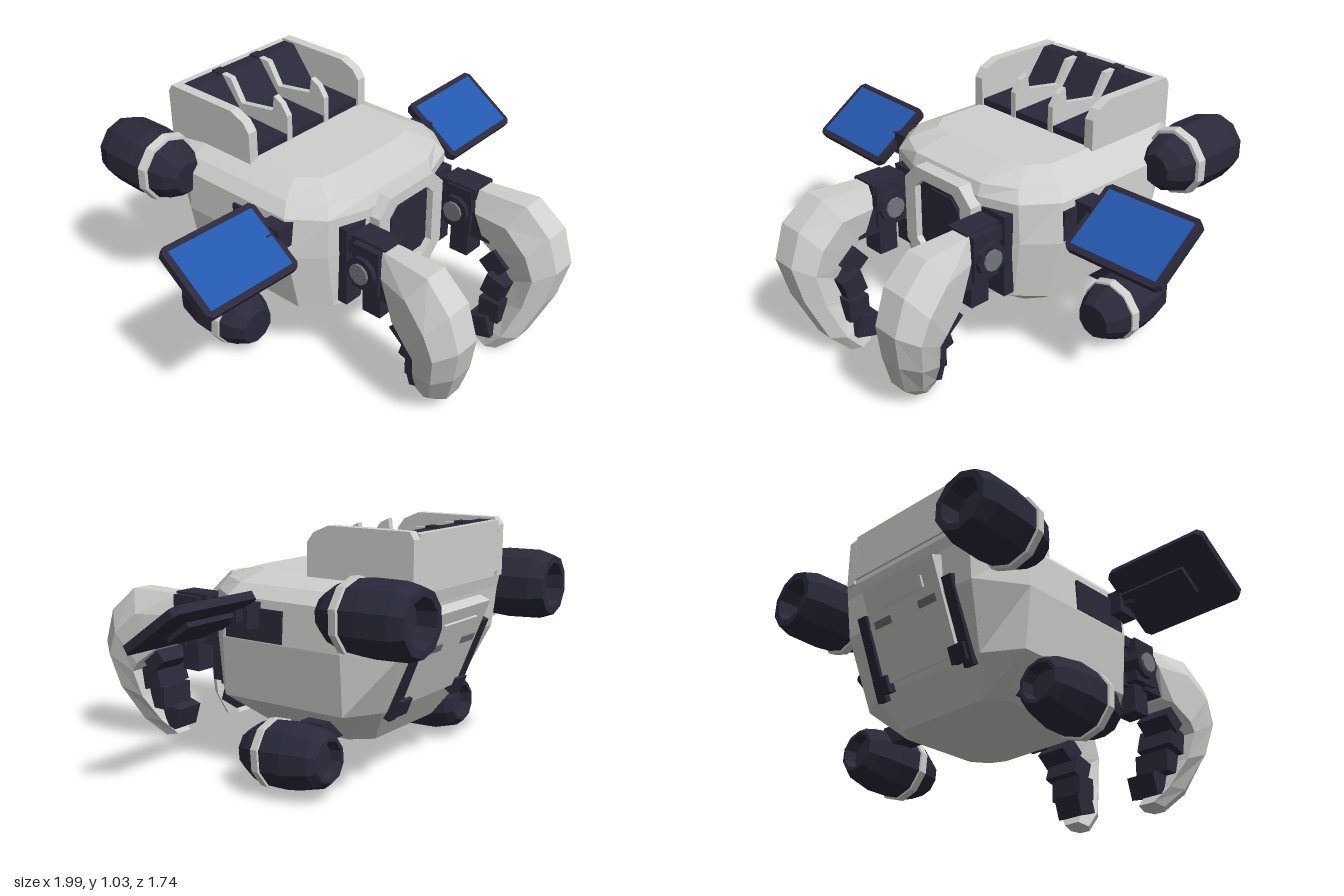
import * as THREE from 'three';

const mat = (name, color) => Object.assign(new THREE.MeshStandardMaterial({ color }), { name });

export function createModel() {
  const white = mat('hull white', 0xcfcfcd);
  const dark = mat('dark frame', 0x2b293a);
  const blue = mat('solar blue', 0x2458ae);
  const grey = mat('joint grey', 0x75757d);
  const model = new THREE.Group();
  model.name = 'spaceDrone';

  // Faceted mesh helper
  const add = (name, geo, material, parent = model) => {
    const g = geo.index ? geo.toNonIndexed() : geo;
    g.computeVertexNormals();
    const mesh = new THREE.Mesh(g, material);
    mesh.name = name;
    parent.add(mesh);
    return mesh;
  };
  const box = (name, size, pos, material, parent = model, rx = 0) => {
    const mesh = add(name, new THREE.BoxGeometry(...size), material, parent);
    mesh.position.set(...pos);
    mesh.rotation.x = rx;
    return mesh;
  };
  // Skin over equal-length rings of [x, y, z], capped, wound to face outward
  const loft = (rings) => {
    const n = rings[0].length, pts = rings.flat(), tris = [];
    for (let i = 0; i < rings.length - 1; i++) {
      for (let j = 0; j < n; j++) {
        const a = i * n + j, b = i * n + (j + 1) % n;
        tris.push([a, b, b + n], [a, b + n, a + n]);
      }
    }
    const last = (rings.length - 1) * n;
    for (let j = 1; j < n - 1; j++) tris.push([0, j + 1, j], [last, last + j, last + j + 1]);
    const v = pts.map((p) => new THREE.Vector3(...p));
    const volume = tris.reduce((s, [a, b, c]) => s + v[a].dot(v[b].clone().cross(v[c])), 0);
    if (volume < 0) tris.forEach((t) => t.reverse());
    const g = new THREE.BufferGeometry();
    g.setAttribute('position', new THREE.Float32BufferAttribute(pts.flat(), 3));
    g.setIndex(tris.flat());
    return g;
  };
  // Side profile of [z, y] points extruded along x
  const prism = (points, x, width) => {
    const s = new THREE.Shape(points.map(([z, y]) => new THREE.Vector2(-z, y)));
    return new THREE.ExtrudeGeometry(s, { depth: width, bevelEnabled: false })
      .rotateY(Math.PI / 2).translate(x, 0, 0);
  };
  const octagon = (w, h, c) => [[-w, c - h], [c - w, -h], [w - c, -h], [w, c - h],
    [w, h - c], [w - c, h], [c - w, h], [-w, h - c]].map((p) => new THREE.Vector2(...p));

  // Hull: y, front half width, front z, cheek x, cheek z, side x, side front z, side back z, back x, back z
  const hullRings = [
    [0.19, 0.17, 0.08, 0.24, 0.05, 0.29, -0.02, -0.38, 0.22, -0.46],
    [0.33, 0.18, 0.31, 0.35, 0.22, 0.45, 0.12, -0.46, 0.30, -0.55],
    [0.58, 0.20, 0.28, 0.38, 0.22, 0.485, 0.10, -0.47, 0.36, -0.66],
    [0.75, 0.20, 0.28, 0.37, 0.22, 0.475, 0.08, -0.47, 0.365, -0.68],
    [0.80, 0.20, 0.26, 0.34, 0.19, 0.43, 0.05, -0.48, 0.36, -0.69],
    [0.845, 0.18, 0.10, 0.27, 0.08, 0.33, 0, -0.5, 0.34, -0.69],
  ].map(([y, fx, fz, cx, cz, sx, sf, sb, bx, bz]) => {
    const half = [[fx, fz], [cx, cz], [sx, sf], [sx, sb], [bx, bz]];
    return [...half, ...half.map(([x, z]) => [-x, z]).reverse()].map(([x, z]) => [x - 0.01, y, z]);
  });
  add('hull', loft(hullRings), white);

  // Front window frame with a recessed dark pane
  const frame = new THREE.Shape(octagon(0.205, 0.215, 0.07));
  frame.holes.push(new THREE.Path(octagon(0.14, 0.165, 0.045)));
  add('windowFrame', new THREE.ExtrudeGeometry(frame,
    { depth: 0.09, bevelEnabled: false }), white).position.set(0, 0.57, 0.24);
  for (const [name, w, h, z] of [['windowPane', 0.145, 0.17, 0.29], ['windowInset', 0.105, 0.13, 0.3]]) {
    add(name, new THREE.ExtrudeGeometry(new THREE.Shape(octagon(w, h, 0.045)),
      { depth: 0.009, bevelEnabled: false }), dark).position.set(0, 0.57, z);
  }

  // Cargo rack with three open bays
  const end = [[-0.22, 0.82], [-0.22, 0.97], [-0.25, 1.01], [-0.32, 1.04], [-0.68, 1.04], [-0.7, 1.01], [-0.7, 0.8]];
  add('rackEnd', prism(end, -0.37, 0.045), white);
  add('rackEnd', prism(end, 0.295, 0.045), white);
  box('rackBack', [0.62, 0.21, 0.035], [-0.015, 0.925, -0.682], white);
  const bay = [[-0.23, 0.83], [-0.23, 0.875], [-0.5, 0.885], [-0.61, 1.03], [-0.67, 1.03], [-0.67, 0.83]];
  add('rackBays', prism(bay, -0.325, 0.62), dark);
  const divider = [[-0.225, 0.83], [-0.225, 0.96], [-0.26, 1.01], [-0.3, 1.03], [-0.31, 0.96], [-0.5, 0.93],
    [-0.56, 1.03], [-0.64, 1.035], [-0.64, 0.83]];
  for (const x of [-0.145, 0.08]) {
    add('bayDivider', prism(divider, x, 0.028), white);
    box('dividerClip', [0.05, 0.02, 0.05], [x + 0.014, 1.03, -0.64], dark);
  }

  // Back plate and its slots
  const rear = new THREE.Group();
  rear.name = 'rearPlate';
  rear.position.set(-0.01, 0.54, -0.63);
  rear.rotation.x = -0.38;
  model.add(rear);
  box('backPlate', [0.42, 0.4, 0.05], [0, 0, 0], white, rear);
  box('backSlot', [0.26, 0.05, 0.03], [0, 0.12, -0.02], white, rear);
  for (const s of [-1, 1]) {
    box('backSeam', [0.05, 0.36, 0.06], [s * 0.25, -0.08, 0.005], dark, rear);
    box('backVent', [0.1, 0.03, 0.008], [s * 0.13, 0.04, -0.027], grey, rear);
    box('backLatch', [0.08, 0.07, 0.06], [s * 0.22, -0.2, -0.01], dark, rear);
  }

  // Thruster: faceted barrel along -z with a hollow nozzle and a pale band
  const thruster = (name, pos, tilt, yaw, profile, band) => {
    const g = new THREE.Group();
    g.name = name;
    g.position.set(...pos);
    g.rotation.set(tilt, yaw, 0);
    model.add(g);
    const turn = (pts) => new THREE.LatheGeometry(pts.map((p) => new THREE.Vector2(...p)), 10).rotateX(-Math.PI / 2);
    add('thrusterBarrel', turn(profile), dark, g);
    add('thrusterBand', turn(band), white, g);
  };
  const upper = [[0, 0], [0.07, 0], [0.11, 0.05], [0.138, 0.13], [0.148, 0.22], [0.145, 0.36],
    [0.125, 0.42], [0.095, 0.42], [0.085, 0.34], [0, 0.34]];
  const lower = [[0, 0], [0.08, 0], [0.115, 0.06], [0.133, 0.11], [0.138, 0.24], [0.115, 0.35],
    [0.09, 0.385], [0.075, 0.385], [0.065, 0.34], [0, 0.34]];

  // Arm shell stations: outer z, y, inner z, y, centre x, half width
  const armStations = [
    [0.46, 0.70, 0.53, 0.47, 0.305, 0.08],
    [0.70, 0.705, 0.56, 0.45, 0.325, 0.105],
    [0.82, 0.60, 0.65, 0.38, 0.335, 0.12],
    [0.87, 0.45, 0.68, 0.34, 0.335, 0.115],
    [0.835, 0.285, 0.66, 0.22, 0.31, 0.105],
    [0.76, 0.10, 0.62, 0.10, 0.25, 0.085],
    [0.67, 0.01, 0.575, 0.03, 0.215, 0.055],
  ];
  // Finger pads: x, y, z, width, tilt
  const pads = [[0.30, 0.40, 0.60, 0.16, 0.7], [0.275, 0.31, 0.63, 0.18, 0.3],
    [0.25, 0.21, 0.63, 0.17, 0], [0.215, 0.12, 0.60, 0.14, -0.3]];

  for (const s of [-1, 1]) {
    const side = s > 0 ? 'left' : 'right';
    thruster(side + 'UpperThruster', [s * 0.505, 0.74, s > 0 ? -0.43 : -0.45], 0.03, s * -0.03, upper,
      [[0.12, 0.11], [0.146, 0.115], [0.152, 0.15], [0.13, 0.155]]);
    box('upperPylon', [0.14, 0.07, 0.1], [s * 0.39, 0.72, -0.6], dark);
    thruster(side + 'LowerThruster', [s * 0.515, 0.155, -0.075], 0.07, 0, lower,
      [[0.12, 0.1], [0.138, 0.105], [0.143, 0.14], [0.12, 0.145]]);
    box('lowerPylon', [0.16, 0.08, 0.1], [s * 0.37, 0.25, -0.32], dark);

    // Solar wing
    const wing = new THREE.Group();
    wing.name = side + 'SolarWing';
    wing.position.set(s > 0 ? 0.76 : -0.768, s > 0 ? 0.695 : 0.705, s > 0 ? 0.005 : 0.075);
    wing.rotation.set(0.61, 0.02 * s, 0);
    model.add(wing);
    const plate = new THREE.Shape(octagon(0.23, 0.16, 0.02));
    add('wingFrame', new THREE.ExtrudeGeometry(plate, { depth: 0.034, bevelEnabled: false })
      .rotateX(-Math.PI / 2).translate(0, -0.017, 0), dark, wing);
    box('solarCell', [0.41, 0.008, 0.27], [0, 0.018, 0], blue, wing);
    box('wingSpine', [0.3, 0.025, 0.12], [s * -0.06, -0.025, 0], dark, wing);
    const wz = s > 0 ? -0.04 : 0.06;
    box('wingHinge', [0.12, 0.1, 0.1], [s * 0.49, 0.69, wz], dark);
    box('wingHingePin', [0.14, 0.05, 0.06], [s * 0.52, 0.7, wz], dark);
    box('wingSlot', [0.02, 0.13, 0.28], [s * 0.478 - 0.01, 0.65, -0.06], dark);

    // Arm socket, shoulder and elbow
    box('armSocket', [0.13, 0.36, 0.1], [s * 0.275, 0.53, 0.225], dark);
    box('shoulderRod', [0.1, 0.06, 0.14], [s * 0.28, 0.64, 0.3], dark);
    box('shoulderRod', [0.07, 0.06, 0.12], [s * 0.28, 0.52, 0.31], dark);
    box('elbowBlock', [0.15, 0.2, 0.13], [s * 0.3, 0.6, 0.4], dark);
    box('elbowCap', [0.11, 0.05, 0.17], [s * 0.29, 0.685, 0.39], dark);
    box('elbowPiston', [0.1, 0.16, 0.09], [s * 0.29, 0.45, 0.405], dark);
    const hub = (r, w, m) => add('elbowHub', new THREE.CylinderGeometry(r, r, w, 10)
      .rotateZ(Math.PI / 2), m).position.set(s * 0.3, 0.59, 0.39);
    hub(0.07, 0.19, dark);
    hub(0.045, 0.21, grey);

    // Curved claw arm
    const rings = armStations.map(([oz, oy, iz, iy, cx, hw]) =>
      [[0, 0.5], [0.4, 1], [1, 0.75], [1, -0.75], [0.4, -1], [0, -0.5]].map(([t, w]) =>
        [s * (cx + w * hw), oy + (iy - oy) * t, oz + (iz - oz) * t]));
    add(side + 'ArmShell', loft(rings), white);
    for (const [x, y, z, w, tilt] of pads) {
      box('fingerPad', [w, 0.1, 0.1], [s * x, y, z], dark, model, tilt);
    }
    box('wristLink', [0.12, 0.12, 0.14], [s * 0.3, 0.54, 0.49], dark);
  }
  return model;
}
